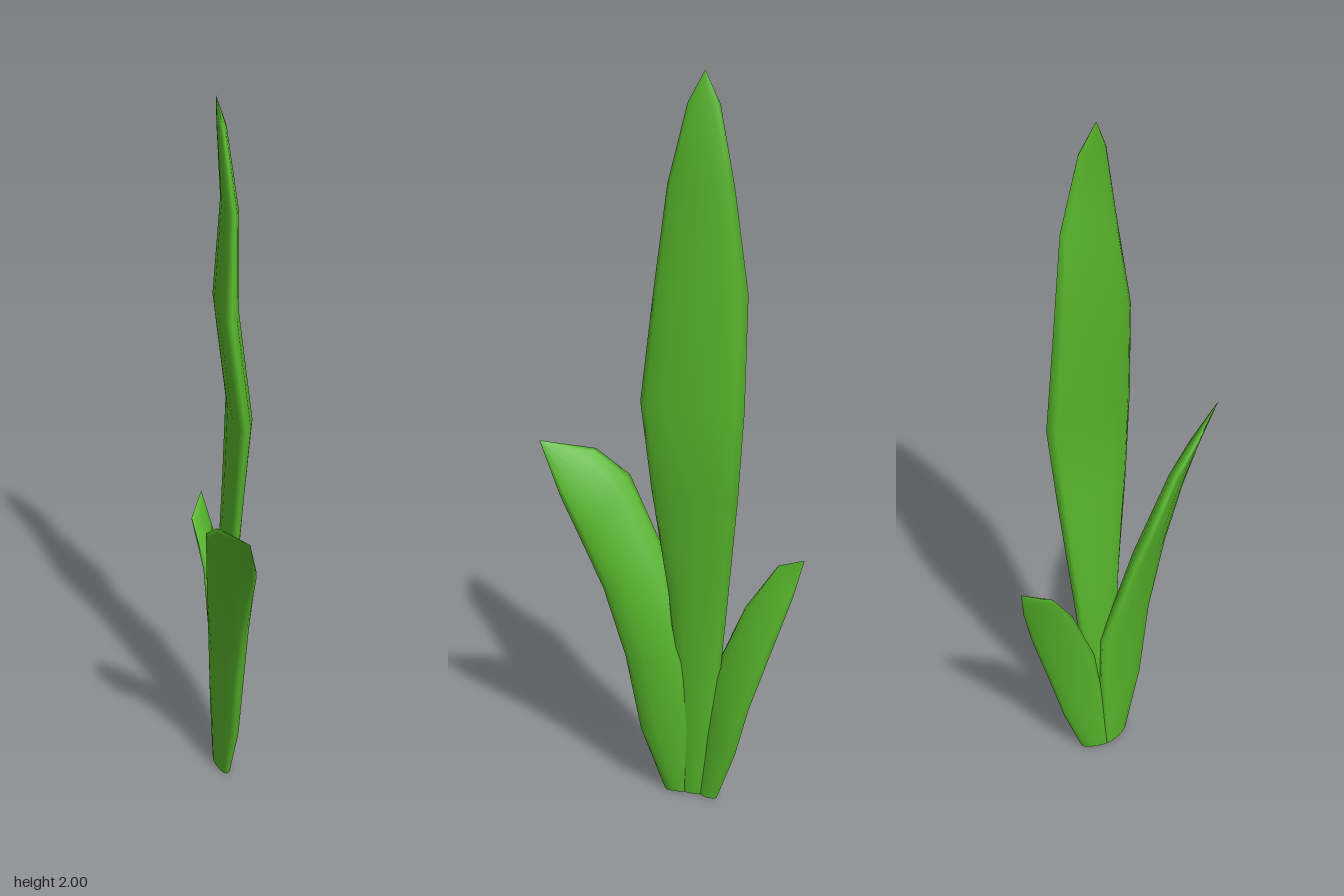
import * as THREE from 'three';

const SIDES = 12;
const green = new THREE.MeshStandardMaterial({ color: 0x57b52b, side: THREE.DoubleSide });

// A fleshy leaf. Each row is a cross-section:
// [one edge x, y, z, other edge x, y, z, bulge on one face, bulge on the other]
function leaf(name, rows) {
  const sections = rows.map(([ax, ay, az, bx, by, bz, out, inn]) => {
    const a = new THREE.Vector3(ax, ay, az), b = new THREE.Vector3(bx, by, bz);
    return { mid: a.clone().add(b).multiplyScalar(0.5), half: b.sub(a).multiplyScalar(0.5), out, inn };
  });
  const positions = [], index = [];
  const last = sections.length - 1;
  sections.forEach(({ mid, half, out, inn }, i) => {
    const along = sections[Math.min(i + 1, last)].mid.clone().sub(sections[Math.max(i - 1, 0)].mid);
    const normal = along.cross(half).normalize();
    if (i === 0) normal.setY(0);
    for (let j = 0; j < SIDES; j++) {
      const t = (j / SIDES) * Math.PI * 2, s = Math.sin(t);
      const p = mid.clone().addScaledVector(half, Math.cos(t)).addScaledVector(normal, s * (s > 0 ? out : inn));
      positions.push(p.x, p.y, p.z);
      if (i < last) {
        const k = (j + 1) % SIDES, r = i * SIDES, n = r + SIDES;
        index.push(r + j, r + k, n + j);
        if (i < last - 1) index.push(r + k, n + k, n + j);
      }
    }
  });
  // flat cap under the base, with its own ring to keep the rim sharp
  const base = positions.length / 3;
  positions.push(...positions.slice(0, SIDES * 3), ...sections[0].mid.toArray());
  for (let j = 0; j < SIDES; j++) index.push(base + SIDES, base + (j + 1) % SIDES, base + j);

  const geometry = new THREE.BufferGeometry();
  geometry.setAttribute('position', new THREE.Float32BufferAttribute(positions, 3));
  geometry.setIndex(index);
  geometry.computeVertexNormals();
  const mesh = new THREE.Mesh(geometry, green);
  mesh.name = name;
  return mesh;
}

export function createModel() {
  const group = new THREE.Group();
  group.name = 'leafyPlant';

  // upright blade, gently waving from side to side
  group.add(leaf('tallLeaf', [
    [-0.015, 0, -0.12, -0.005, 0, -0.03, 0.015, 0.015],
    [-0.01, 0.35, -0.14, 0.0, 0.35, -0.02, 0.02, 0.02],
    [0.0, 0.6, -0.165, 0.01, 0.6, 0.0, 0.023, 0.023],
    [0.015, 0.9, -0.195, 0.03, 0.9, 0.04, 0.024, 0.024],
    [0.03, 1.15, -0.215, 0.045, 1.15, 0.065, 0.03, 0.03],
    [-0.003, 1.45, -0.21, 0.01, 1.45, 0.04, 0.03, 0.03],
    [0.008, 1.72, -0.175, 0.018, 1.72, 0.0, 0.02, 0.02],
    [-0.008, 1.92, -0.13, -0.004, 1.92, -0.045, 0.012, 0.012],
    [-0.02, 2, -0.085, -0.02, 2, -0.085, 0, 0],
  ]));

  // broad leaf leaning forward
  group.add(leaf('frontLeaf', [
    [-0.03, 0, -0.08, 0.0, 0, 0.015, 0.022, 0.015],
    [-0.035, 0.2, -0.1, 0.015, 0.18, 0.08, 0.035, 0.02],
    [-0.04, 0.4, -0.095, 0.025, 0.4, 0.12, 0.04, 0.02],
    [-0.055, 0.65, 0.015, 0.035, 0.6, 0.18, 0.04, 0.015],
    [-0.065, 0.9, 0.14, 0.047, 0.75, 0.245, 0.03, 0.012],
    [-0.045, 0.97, 0.23, 0.053, 0.86, 0.295, 0.018, 0.008],
    [0.03, 1, 0.362, 0.03, 1, 0.362, 0, 0],
  ]));

  // small leaf leaning back
  group.add(leaf('backLeaf', [
    [-0.03, 0, -0.07, 0.005, 0, -0.14, 0.012, 0.02],
    [-0.035, 0.2, -0.09, 0.012, 0.15, -0.195, 0.015, 0.028],
    [-0.035, 0.38, -0.12, 0.02, 0.3, -0.235, 0.018, 0.028],
    [-0.045, 0.57, -0.2, 0.005, 0.5, -0.3, 0.018, 0.025],
    [-0.078, 0.69, -0.28, -0.02, 0.63, -0.34, 0.01, 0.015],
    [-0.045, 0.73, -0.362, -0.045, 0.73, -0.362, 0, 0],
  ]));

  return group;
}
